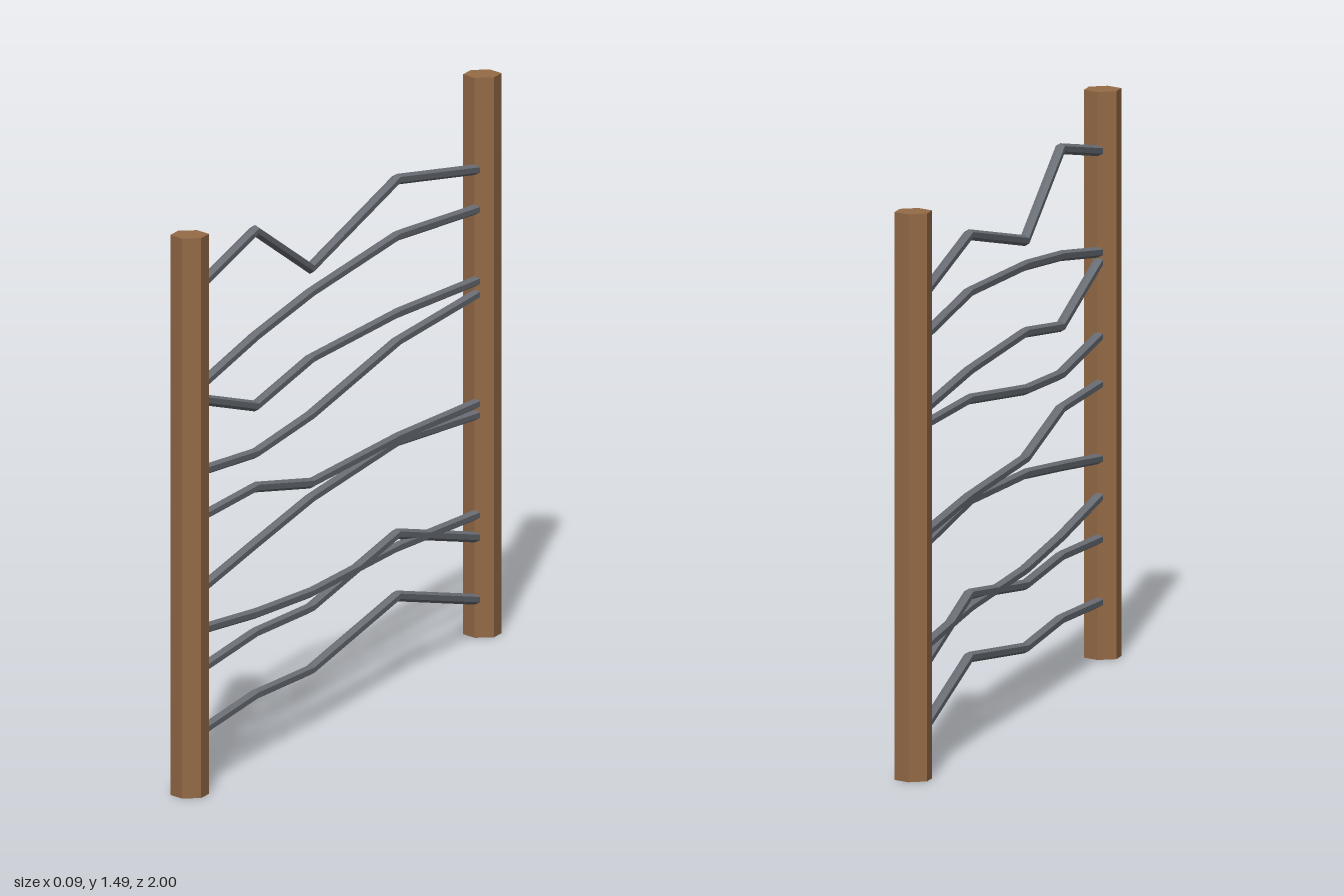
import * as THREE from 'three';

const POST_RADIUS = 0.05, POST_HEIGHT = 1.485, POST_Z = 0.95, WIRE_RADIUS = 0.014;

// Bend points along the fence, shared by all wires (back to front)
const KNOT_Z = [-0.91, -0.393, 0.168, 0.527, 0.91];

// Heights of each wire at the bend points
const WIRES = [
  [1.24, 1.33, 1.22, 1.40, 1.33],
  [1.135, 1.18, 1.155, 1.12, 1.065],
  [0.945, 0.975, 0.98, 0.935, 1.04],
  [0.91, 0.90, 0.83, 0.81, 0.845],
  [0.62, 0.645, 0.65, 0.72, 0.72],
  [0.59, 0.635, 0.61, 0.57, 0.525],
  [0.325, 0.355, 0.36, 0.385, 0.425],
  [0.265, 0.39, 0.32, 0.335, 0.315],
  [0.10, 0.225, 0.155, 0.17, 0.15],
];

// Six-sided rod bent through the knots, with mitred joints
function bentWire(heights) {
  const n = heights.length - 1;
  const geo = new THREE.CylinderGeometry(WIRE_RADIUS, WIRE_RADIUS, 1, 6, n);
  geo.rotateX(Math.PI / 2);
  const angle = (i) => Math.atan2(heights[i + 1] - heights[i], KNOT_Z[i + 1] - KNOT_Z[i]);
  const pos = geo.attributes.position;
  for (let v = 0; v < pos.count; v++) {
    const i = Math.round((pos.getZ(v) + 0.5) * n);
    const before = angle(Math.max(i - 1, 0)), after = angle(Math.min(i, n - 1));
    const tilt = (before + after) / 2;
    const offset = pos.getY(v) / Math.cos((after - before) / 2);
    pos.setY(v, heights[i] + offset * Math.cos(tilt));
    pos.setZ(v, KNOT_Z[i] - offset * Math.sin(tilt));
  }
  geo.computeVertexNormals();
  return geo;
}

export function createModel() {
  const model = new THREE.Group();
  model.name = 'wireFence';
  const wood = new THREE.MeshStandardMaterial({ color: 0x966b47, flatShading: true });
  const steel = new THREE.MeshStandardMaterial({ color: 0x6e7279, flatShading: true });

  // Hexagonal end posts
  const postGeo = new THREE.CylinderGeometry(POST_RADIUS, POST_RADIUS, POST_HEIGHT, 6);
  for (const side of [1, -1]) {
    const post = new THREE.Mesh(postGeo, wood);
    post.name = side > 0 ? 'frontPost' : 'backPost';
    post.position.set(0, POST_HEIGHT / 2, side * POST_Z);
    model.add(post);
  }

  // Bent wires strung between the posts
  WIRES.forEach((heights, i) => {
    const wire = new THREE.Mesh(bentWire(heights), steel);
    wire.name = `wire${i + 1}`;
    model.add(wire);
  });
  return model;
}
